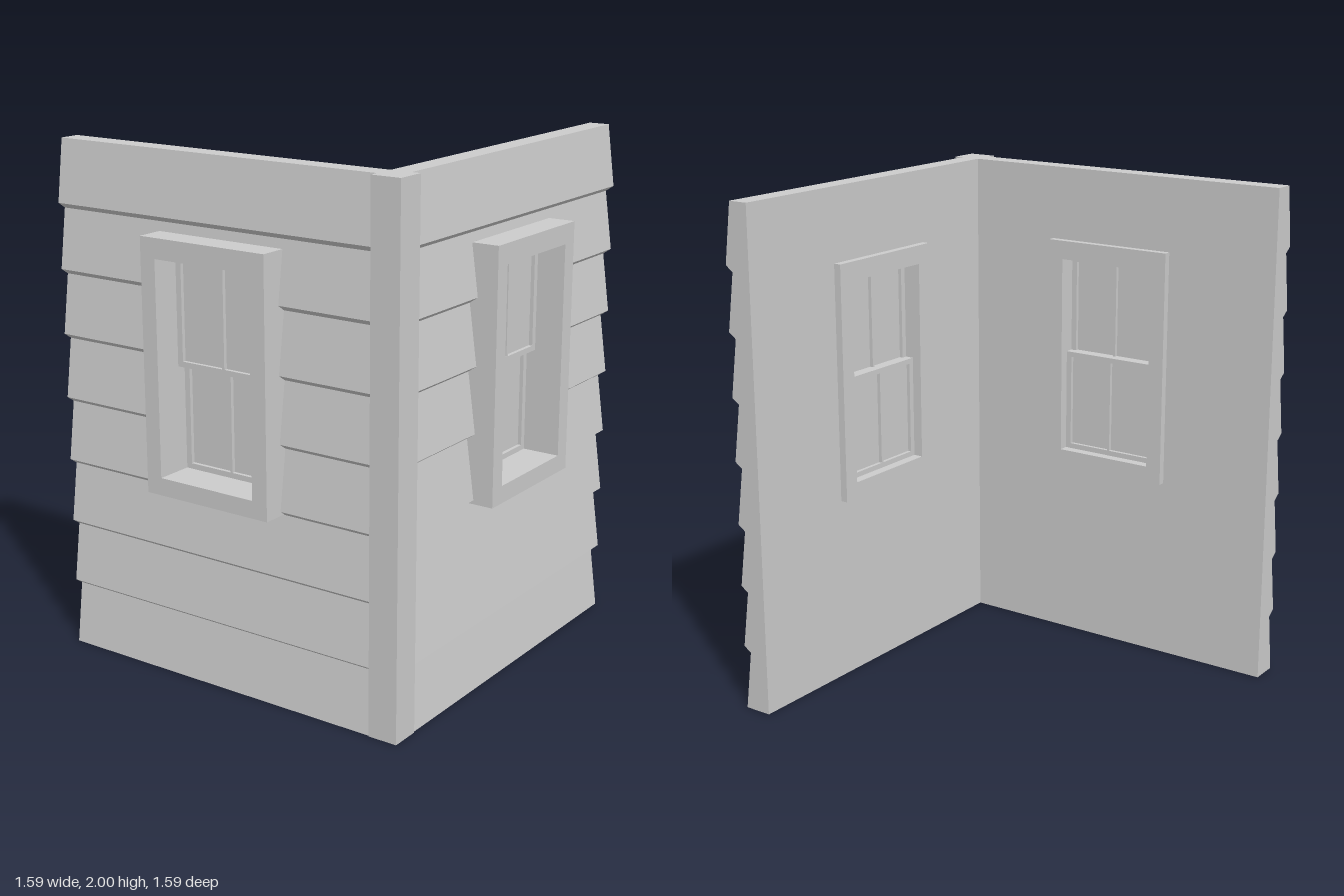
import * as THREE from 'three';

const mat = new THREE.MeshStandardMaterial({ color: 0xcccccc });
const H = 2, INNER = 0.605, BOARD = 0.25;

function add(parent, name, geo) {
  const mesh = new THREE.Mesh(geo, mat);
  mesh.name = name;
  parent.add(mesh);
  return mesh;
}

function rectPath(Type, x0, x1, y0, y1) {
  return new Type([[x0, y0], [x1, y0], [x1, y1], [x0, y1]].map(p => new THREE.Vector2(...p)));
}

// Flat plate with rectangular holes, spanning z0..z1
function plate(outer, holes, z0, z1) {
  const shape = rectPath(THREE.Shape, ...outer);
  shape.holes = holes.map(h => rectPath(THREE.Path, ...h));
  return new THREE.ExtrudeGeometry(shape, { depth: z1 - z0, bevelEnabled: false }).translate(0, 0, z0);
}

// Wall piece x0..x1, y0..y1 with the lapped board profile on its +z face
function siding(x0, x1, y0, y1) {
  const out = 0.718, back = 0.686;
  const face = y => y === H ? back : out + (back - out) * ((y % BOARD) / BOARD);
  const pts = [[INNER, y0], [face(y0), y0]];
  for (let y = BOARD; y < H; y += BOARD) {
    if (y > y0 && y < y1) pts.push([back, y - 0.01], [out, y + 0.012]);
  }
  pts.push([face(y1), y1], [INNER, y1]);
  const shape = new THREE.Shape(pts.map(p => new THREE.Vector2(...p)));
  return new THREE.ExtrudeGeometry(shape, { depth: x1 - x0, bevelEnabled: false })
    .rotateY(-Math.PI / 2).translate(x1, 0, 0);
}

// One two-pane sash with its glass
function sash(parent, name, y0, y1, z0, z1) {
  const w = 0.21, m = 0.005, rail = 0.021;
  const panes = [[-w + 0.023, -m], [m, w - 0.023]].map(([a, b]) => [a, b, y0 + rail, y1 - rail]);
  add(parent, name + 'Sash', plate([-w, w, y0, y1], panes, z0, z1));
  add(parent, name + 'Glass', new THREE.BoxGeometry(2 * w - 0.02, y1 - y0 - 0.02, 0.006))
    .position.set(0, (y0 + y1) / 2, (z0 + z1) / 2);
}

function makeWindow(cx) {
  const g = new THREE.Group();
  g.name = 'window';
  add(g, 'windowFrame', plate([-0.275, 0.275, 0.747, 1.705], [[-0.21, 0.21, 0.814, 1.629]], 0.575, 0.797));
  sash(g, 'upper', 1.212, 1.629, 0.65, 0.685);
  sash(g, 'lower', 0.814, 1.233, 0.615, 0.65);
  g.position.x = cx;
  return g;
}

// Clad wall built around the window opening
function makeWall(name, x0, x1, cx) {
  const g = new THREE.Group();
  g.name = name;
  const a = cx - 0.245, b = cx + 0.245;
  add(g, 'sidingLeftOfWindow', siding(x0, a, 0, H));
  add(g, 'sidingRightOfWindow', siding(b, x1, 0, H));
  add(g, 'sidingBelowWindow', siding(a, b, 0, 0.78));
  add(g, 'sidingAboveWindow', siding(a, b, 1.67, H));
  g.add(makeWindow(cx));
  return g;
}

export function createModel() {
  const model = new THREE.Group();
  model.name = 'wallCorner';
  model.add(makeWall('frontWall', -0.607, 0.795, 0.053));
  const side = makeWall('sideWall', -0.795, 0.607, -0.053);
  side.rotation.y = -Math.PI / 2;
  model.add(side);

  // Corner post joining both walls
  const t = 0.722 - INNER, c = (0.722 + INNER) / 2;
  add(model, 'cornerPost', new THREE.BoxGeometry(t, H, t)).position.set(-c, H / 2, c);
  return model;
}
